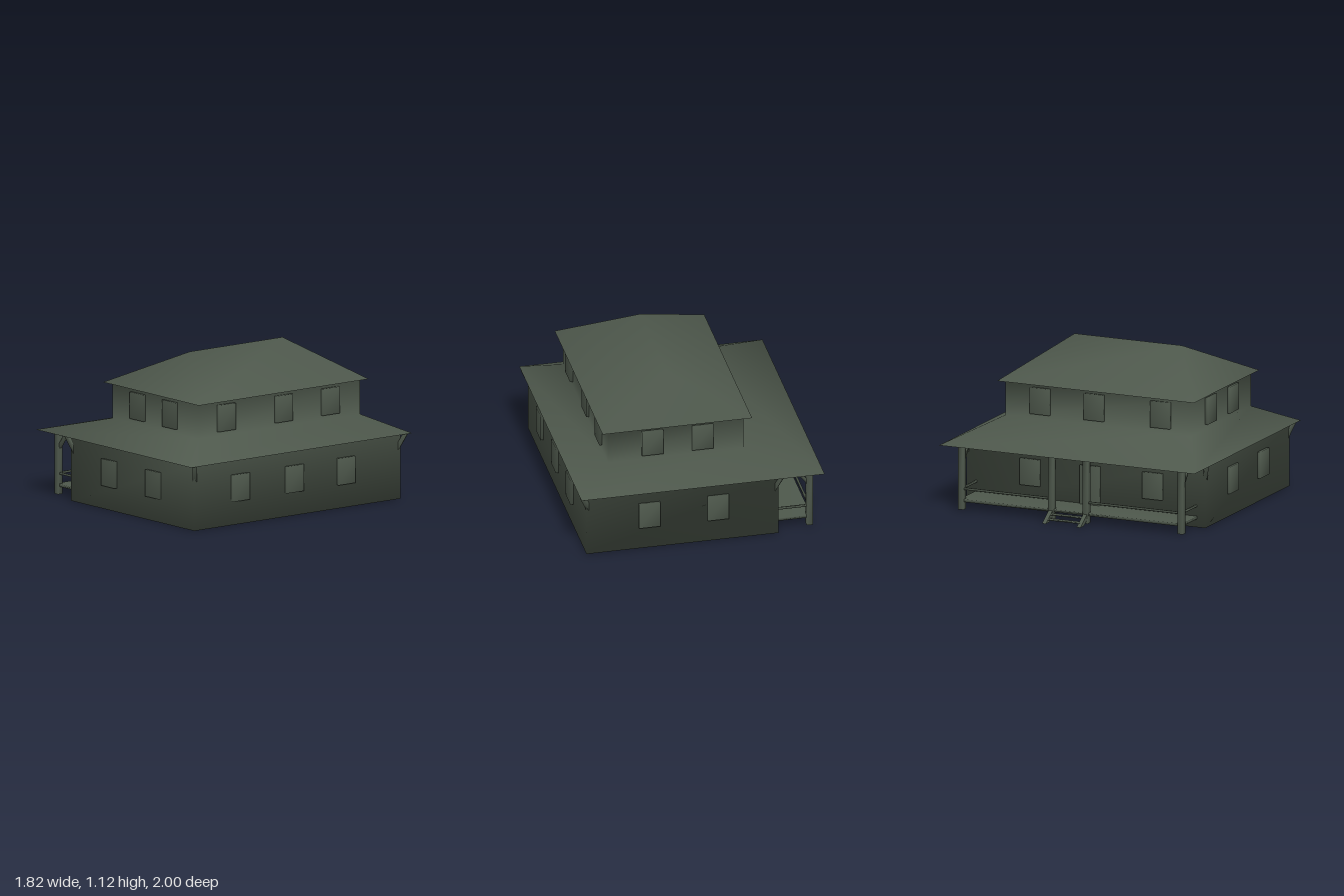
import * as THREE from 'three';
import { mergeVertices } from 'three/addons/utils/BufferGeometryUtils.js';

const paint = new THREE.MeshStandardMaterial({ color: 0x4e584c });
paint.name = 'dark green grey';

// Shared corners give the soft shading used throughout
function soften(geometry) {
  geometry.deleteAttribute('normal');
  geometry.deleteAttribute('uv');
  const merged = mergeVertices(geometry);
  merged.computeVertexNormals();
  return merged;
}

function add(parent, name, geometry) {
  const mesh = new THREE.Mesh(geometry, paint);
  mesh.name = name;
  parent.add(mesh);
  return mesh;
}

// Box given by its lower and upper limits on each axis
function block(parent, name, x0, x1, y0, y1, z0, z1) {
  const mesh = add(parent, name, soften(new THREE.BoxGeometry(x1 - x0, y1 - y0, z1 - z0)));
  mesh.position.set((x0 + x1) / 2, (y0 + y1) / 2, (z0 + z1) / 2);
}

// Square bar between two points
function bar(parent, name, from, to, size) {
  const a = new THREE.Vector3(...from), b = new THREE.Vector3(...to);
  const mesh = add(parent, name, soften(new THREE.BoxGeometry(size, size, a.distanceTo(b))));
  mesh.position.copy(a).lerp(b, 0.5);
  mesh.lookAt(b);
}

// Stack of rectangles [x0, x1, half depth, y], closed at the bottom
function shell(rings) {
  const positions = [], index = [0, 3, 2, 0, 2, 1];
  rings.forEach(([x0, x1, d, y], r) => {
    positions.push(x0, y, d, x1, y, d, x1, y, -d, x0, y, -d);
    if (r === 0) return;
    for (let i = 0; i < 4; i++) {
      const a = (r - 1) * 4 + i, b = (r - 1) * 4 + (i + 1) % 4;
      index.push(a, b, b + 4, a, b + 4, a + 4);
    }
  });
  const geometry = new THREE.BufferGeometry();
  geometry.setAttribute('position', new THREE.Float32BufferAttribute(positions, 3));
  geometry.setIndex(index);
  return soften(geometry);
}

export function createModel() {
  const house = new THREE.Group();
  house.name = 'house';

  // Walls, skirt roof, upper storey and hipped roof in one shell
  add(house, 'houseShell', shell([
    [-0.54, 0.855, 0.935, 0],
    [-0.54, 0.855, 0.935, 0.472],
    [-0.86, 0.905, 1.0, 0.472],
    [-0.33, 0.65, 0.73, 0.605],
    [-0.33, 0.65, 0.73, 0.86],
    [-0.385, 0.7, 0.77, 0.86],
    [0.16, 0.16, 0.42, 1.122],
  ]));

  // Windows on both storeys, all four sides
  const windows = new THREE.Group();
  windows.name = 'windows';
  house.add(windows);
  const storeys = [
    { x0: -0.54, x1: 0.855, d: 0.935, y0: 0.17, y1: 0.363, xs: [-0.1, 0.4], zs: [0.525, 0.035, -0.435] },
    { x0: -0.33, x1: 0.65, d: 0.73, y0: 0.638, y1: 0.83, xs: [-0.033, 0.332], zs: [0.487, -0.033, -0.455] },
  ];
  const w = 0.077, out = 0.02;
  storeys.forEach((s, level) => {
    for (const x of s.xs) {
      block(windows, 'frontWindow', x - w, x + w, s.y0, s.y1, s.d - out, s.d + out);
      block(windows, 'backWindow', x - w, x + w, s.y0, s.y1, -s.d - out, -s.d + out);
    }
    s.zs.forEach((z, i) => {
      block(windows, 'leftWindow', s.x1 - out, s.x1 + out, s.y0, s.y1, z - w, z + w);
      // The middle opening on the porch is the door
      const door = level === 0 && i === 1;
      block(windows, door ? 'door' : 'rightWindow', s.x0 - out, s.x0 + out,
        door ? 0.07 : s.y0, s.y1, z - w, z + w);
    });
  });

  // Diagonal brackets under the corners of the skirt roof
  for (const side of [-1, 1]) {
    bar(house, 'eaveBracket', [0.835, 0.355, side * 0.915], [0.885, 0.472, side * 0.955], 0.03);
    bar(house, 'eaveBracket', [-0.51, 0.345, side * 0.915], [-0.565, 0.472, side * 0.955], 0.03);
  }

  // Porch along the -x side
  const porch = new THREE.Group();
  porch.name = 'porch';
  house.add(porch);
  block(porch, 'porchFloor', -0.79, -0.53, 0.06, 0.08, -0.87, 0.87);
  for (const z of [-0.86, -0.155, 0.115, 0.86])
    block(porch, 'porchPost', -0.8, -0.757, 0.005, 0.475, z - 0.021, z + 0.021);
  for (const side of [-1, 1]) {
    bar(porch, 'endRail', [-0.77, 0.155, side * 0.86], [-0.53, 0.155, side * 0.86], 0.014);
    bar(porch, 'postBrace', [-0.765, 0.345, side * 0.86], [-0.665, 0.475, side * 0.86], 0.022);
  }
  bar(porch, 'frontRail', [-0.778, 0.155, -0.86], [-0.778, 0.155, -0.155], 0.014);
  bar(porch, 'frontRail', [-0.778, 0.155, 0.115], [-0.778, 0.155, 0.86], 0.014);

  // Porch steps between slanted stringers
  const profile = new THREE.Shape([
    [-0.91, 0], [-0.855, 0], [-0.78, 0.04], [-0.78, 0.085],
  ].map(([x, y]) => new THREE.Vector2(x, y)));
  for (const z of [-0.155, 0.115]) {
    const stringer = add(porch, 'stepStringer',
      new THREE.ExtrudeGeometry(profile, { depth: 0.03, bevelEnabled: false }));
    stringer.position.z = z - 0.015;
  }
  block(porch, 'stepTread', -0.875, -0.845, 0.018, 0.028, -0.155, 0.115);
  block(porch, 'stepTread', -0.83, -0.8, 0.045, 0.055, -0.155, 0.115);

  return house;
}
